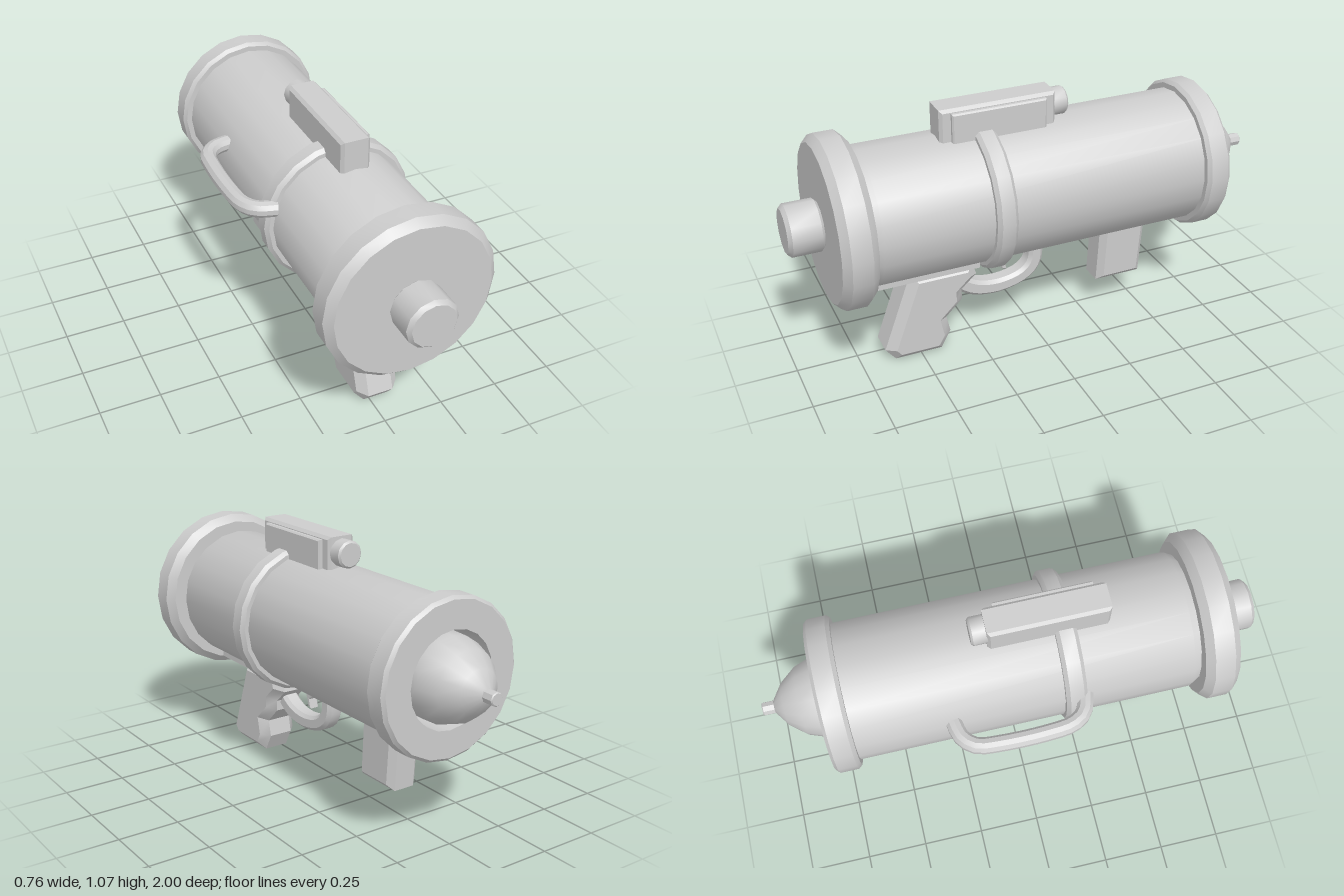
import * as THREE from 'three';
import { toCreasedNormals } from 'three/addons/utils/BufferGeometryUtils.js';

export function createModel() {
  const group = new THREE.Group();
  const grey = new THREE.MeshStandardMaterial({ color: 0xcccccc });
  grey.name = 'plain grey';
  grey.side = THREE.DoubleSide;
  const AX = 0.03, AY = 0.665; // barrel axis

  function add(name, geo) {
    const mesh = new THREE.Mesh(toCreasedNormals(geo, 0.6), grey);
    mesh.name = name;
    group.add(mesh);
    return mesh;
  }

  // Turned part along z; points are [radius, z] from back to front
  function turned(name, points, sides = 20, x = AX, y = AY) {
    const geo = new THREE.LatheGeometry(points.map(p => new THREE.Vector2(p[0], p[1])), sides);
    geo.rotateX(Math.PI / 2);
    geo.translate(x, y, 0);
    return add(name, geo);
  }

  // Closed drum with chamfered rims
  function drum(name, r, z0, z1, c, sides, x, y) {
    return turned(name, [[0, z0], [r - c, z0], [r, z0 + c], [r, z1 - c], [r - c, z1], [0, z1]], sides, x, y);
  }

  // Side profile of [z, y] points given width along x, bevelled inward
  function slab(name, shape, width, bevel, x = AX) {
    const s = shape instanceof THREE.Shape ? shape : new THREE.Shape(shape.map(p => new THREE.Vector2(p[0], p[1])));
    const geo = new THREE.ExtrudeGeometry(s, {
      depth: width - 2 * bevel, bevelEnabled: bevel > 0, bevelThickness: bevel,
      bevelSize: bevel, bevelOffset: -bevel, bevelSegments: 1, curveSegments: 8,
    });
    geo.translate(0, 0, -(width - 2 * bevel) / 2);
    geo.rotateY(-Math.PI / 2);
    geo.translate(x, 0, 0);
    return add(name, geo);
  }
  const rect = (z0, z1, y0, y1) => [[z0, y0], [z1, y0], [z1, y1], [z0, y1]];

  // Barrel and its collars
  turned('barrel', [[0.278, -0.72], [0.278, 0.69], [0.262, 0.72], [0.262, 0.76]], 20);
  drum('frontCap', 0.345, 0.72, 0.86, 0.03, 20);
  drum('frontKnob', 0.104, 0.855, 1, 0.015, 12);
  turned('middleRing', [[0.27, 0.165], [0.295, 0.165], [0.31, 0.18], [0.31, 0.235], [0.295, 0.25], [0.27, 0.25]]);
  turned('rearCollar', [[0, -0.5], [0.19, -0.5], [0.19, -0.768], [0.3, -0.768], [0.313, -0.755],
    [0.313, -0.68], [0.3, -0.665], [0.27, -0.665]]);

  // Projectile sitting in the rear opening
  turned('warhead', [[0, -0.957], [0.025, -0.953], [0.086, -0.91], [0.138, -0.845], [0.167, -0.765],
    [0.17, -0.68], [0.14, -0.6], [0.1, -0.5]], 16);
  drum('warheadPin', 0.027, -1, -0.945, 0.004, 8);

  // Sight box with side plate and eyepiece
  slab('sightBox', rect(-0.095, 0.385, 0.92, 1.065), 0.12, 0.012);
  slab('sightSidePlate', rect(-0.05, 0.34, 0.92, 1.05), 0.04, 0.006, 0.088);
  drum('sightEyepiece', 0.056, -0.155, -0.085, 0.008, 12, AX, 1.0);

  // Carrying handle on the side
  const path = new THREE.CatmullRomCurve3([
    [-0.225, -0.278], [-0.29, -0.262], [-0.335, -0.215], [-0.348, -0.12],
    [-0.348, 0.07], [-0.335, 0.17], [-0.3, 0.22], [-0.225, 0.245],
  ].map(p => new THREE.Vector3(p[0], 0.755, p[1])));
  add('carryHandle', new THREE.TubeGeometry(path, 20, 0.033, 10, false));

  // Pistol grip, its mounting plate and the front grip
  slab('gripPlate', rect(0.25, 0.69, 0.375, 0.45), 0.2, 0);
  slab('pistolGrip', [[0.53, 0.39], [0.652, 0.053], [0.61, 0], [0.41, 0], [0.37, 0.075], [0.385, 0.145],
    [0.315, 0.215], [0.315, 0.26], [0.25, 0.32], [0.27, 0.39]], 0.175, 0.035);
  slab('frontGrip', [[-0.32, 0.43], [-0.305, 0.145], [-0.51, 0.145], [-0.53, 0.43]], 0.14, 0.025);

  // Trigger guard: curved band joining the grip to the barrel
  const guard = new THREE.Shape();
  guard.moveTo(0.33, 0.25);
  guard.bezierCurveTo(0.27, 0.19, 0.2, 0.185, 0.14, 0.185);
  guard.bezierCurveTo(0.02, 0.195, -0.06, 0.24, -0.06, 0.34);
  guard.lineTo(-0.06, 0.41);
  guard.lineTo(0.003, 0.41);
  guard.lineTo(0.003, 0.34);
  guard.bezierCurveTo(0.003, 0.28, 0.06, 0.255, 0.14, 0.25);
  guard.bezierCurveTo(0.2, 0.25, 0.24, 0.26, 0.29, 0.3);
  slab('triggerGuard', guard, 0.075, 0.014);

  // Trigger
  slab('trigger', [[0.13, 0.4], [0.135, 0.34], [0.12, 0.29], [0.1, 0.285], [0.11, 0.325], [0.085, 0.355], [0.08, 0.4]], 0.04, 0.004);

  return group;
}
